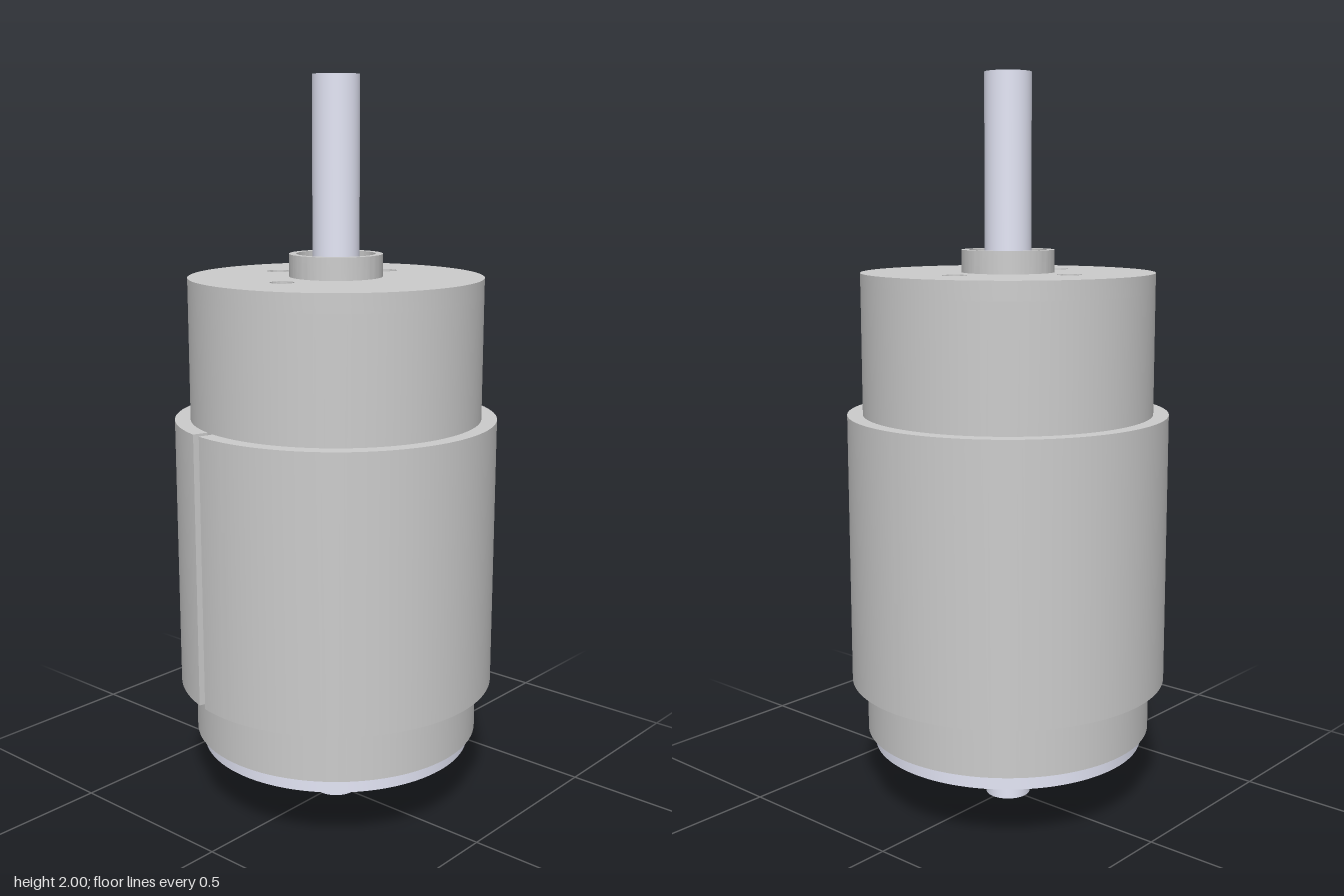
import * as THREE from 'three';
import { toCreasedNormals } from 'three/addons/utils/BufferGeometryUtils.js';

const grey = new THREE.MeshStandardMaterial({ color: 0xcccccc });
const steel = new THREE.MeshStandardMaterial({ color: 0xe4e6f6 });

export function createModel() {
  const group = new THREE.Group();

  const add = (name, geometry, material) => {
    const mesh = new THREE.Mesh(geometry, material);
    mesh.name = name;
    group.add(mesh);
  };

  // Upright solid cylinder between two heights
  const rod = (name, r, y0, y1, material) =>
    add(name, new THREE.CylinderGeometry(r, r, y1 - y0, 96).translate(0, (y0 + y1) / 2, 0), material);

  // Flat outline (x, -z) raised between two heights
  const plate = (name, shape, y0, y1, material) => {
    const geometry = new THREE.ExtrudeGeometry(shape, {
      depth: y1 - y0, bevelEnabled: false, curveSegments: 96,
    });
    geometry.rotateX(-Math.PI / 2).translate(0, y0, 0);
    add(name, toCreasedNormals(geometry, 0.5), material);
  };

  const disc = (r, x = 0, y = 0, Outline = THREE.Shape) =>
    new Outline().absarc(x, y, r, 0, Math.PI * 2, false);

  // Motor case, closed by a face plate with three screw holes
  rod('case', 0.395, 0.21, 1.43, grey);
  const face = disc(0.395);
  face.holes.push(disc(0.105, 0, 0, THREE.Path));
  for (const [x, y] of [[-0.21, 0], [0.21, 0], [0, 0.21]]) {
    face.holes.push(disc(0.032, x, y, THREE.Path));
  }
  plate('facePlate', face, 1.43, 1.48, grey);
  rod('innerDisc', 0.3, 1.42, 1.435, steel);

  // Raised collar around the front bearing
  const collar = disc(0.125);
  collar.holes.push(disc(0.105, 0, 0, THREE.Path));
  plate('bearingCollar', collar, 1.48, 1.54, grey);
  rod('frontBearing', 0.105, 1.43, 1.49, steel);

  // Flux ring: a sleeve split by a narrow gap on one side
  const gapStart = Math.PI - 0.277, gapEnd = Math.PI - 0.21;
  const ring = new THREE.Shape();
  ring.absarc(0, 0, 0.437, gapEnd, gapStart + Math.PI * 2, false);
  ring.absarc(0, 0, 0.395, gapStart + Math.PI * 2, gapEnd, true);
  ring.closePath();
  plate('fluxRing', ring, 0.355, 1.1, grey);

  // Rear cap with two terminal slots
  const cap = disc(0.375);
  for (const x of [-0.24, 0.24]) {
    const slot = new THREE.Path();
    slot.moveTo(x - 0.028, -0.07);
    slot.lineTo(x + 0.028, -0.07);
    slot.lineTo(x + 0.028, 0.07);
    slot.lineTo(x - 0.028, 0.07);
    slot.closePath();
    cap.holes.push(slot);
  }
  plate('rearCap', cap, 0.17, 0.21, steel);

  // Rear bearing and the shaft through the motor
  rod('rearBearing', 0.105, 0.083, 0.17, steel);
  rod('shaft', 0.0625, 0, 2, steel);

  return group;
}
